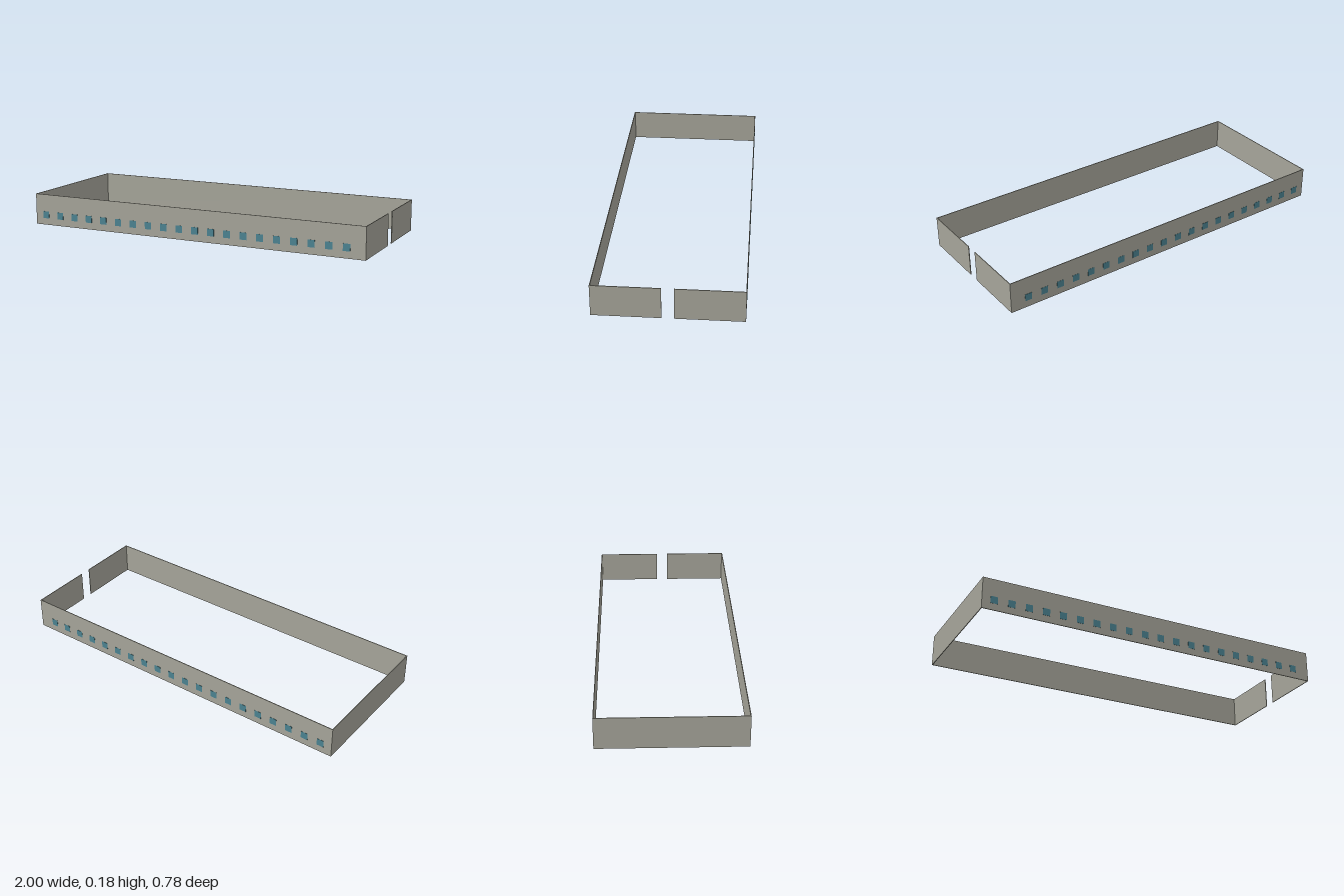
import * as THREE from 'three';

export function createModel() {
  const model = new THREE.Group();
  model.name = 'perimeterWall';

  const concrete = new THREE.MeshStandardMaterial({ color: 0xa5a499 });
  concrete.name = 'grey concrete';
  const glass = new THREE.MeshStandardMaterial({ color: 0x4a8290 });
  glass.name = 'teal glass';

  const height = 0.177, thick = 0.004, halfX = 1, halfZ = 0.389, gap = 0.064;

  function box(name, size, position, material, parent = model) {
    const mesh = new THREE.Mesh(new THREE.BoxGeometry(...size), material);
    mesh.position.set(...position);
    mesh.name = name;
    parent.add(mesh);
  }

  // Long walls, each with a row of small windows on its outer face
  const windowCount = 20, firstX = -0.933, spacing = 0.0963, windowSize = 0.04;
  for (const [side, name] of [[1, 'front'], [-1, 'back']]) {
    box(name + 'Wall', [halfX * 2, height, thick], [0, height / 2, side * (halfZ - thick / 2)], concrete);
    const windows = new THREE.Group();
    windows.name = name + 'Windows';
    model.add(windows);
    for (let i = 0; i < windowCount; i++) {
      box('window', [windowSize, windowSize, 0.002],
        [firstX + i * spacing, 0.058, side * halfZ], glass, windows);
    }
  }

  // Closed end wall
  const innerZ = halfZ - thick;
  box('rightEndWall', [thick, height, innerZ * 2], [-halfX + thick / 2, height / 2, 0], concrete);

  // Gated end: two wall sections either side of the entrance gap
  const section = innerZ - gap / 2;
  for (const side of [1, -1]) {
    box('entranceWall', [thick, height, section],
      [halfX - thick / 2, height / 2, side * (gap / 2 + section / 2)], concrete);
  }
  return model;
}
